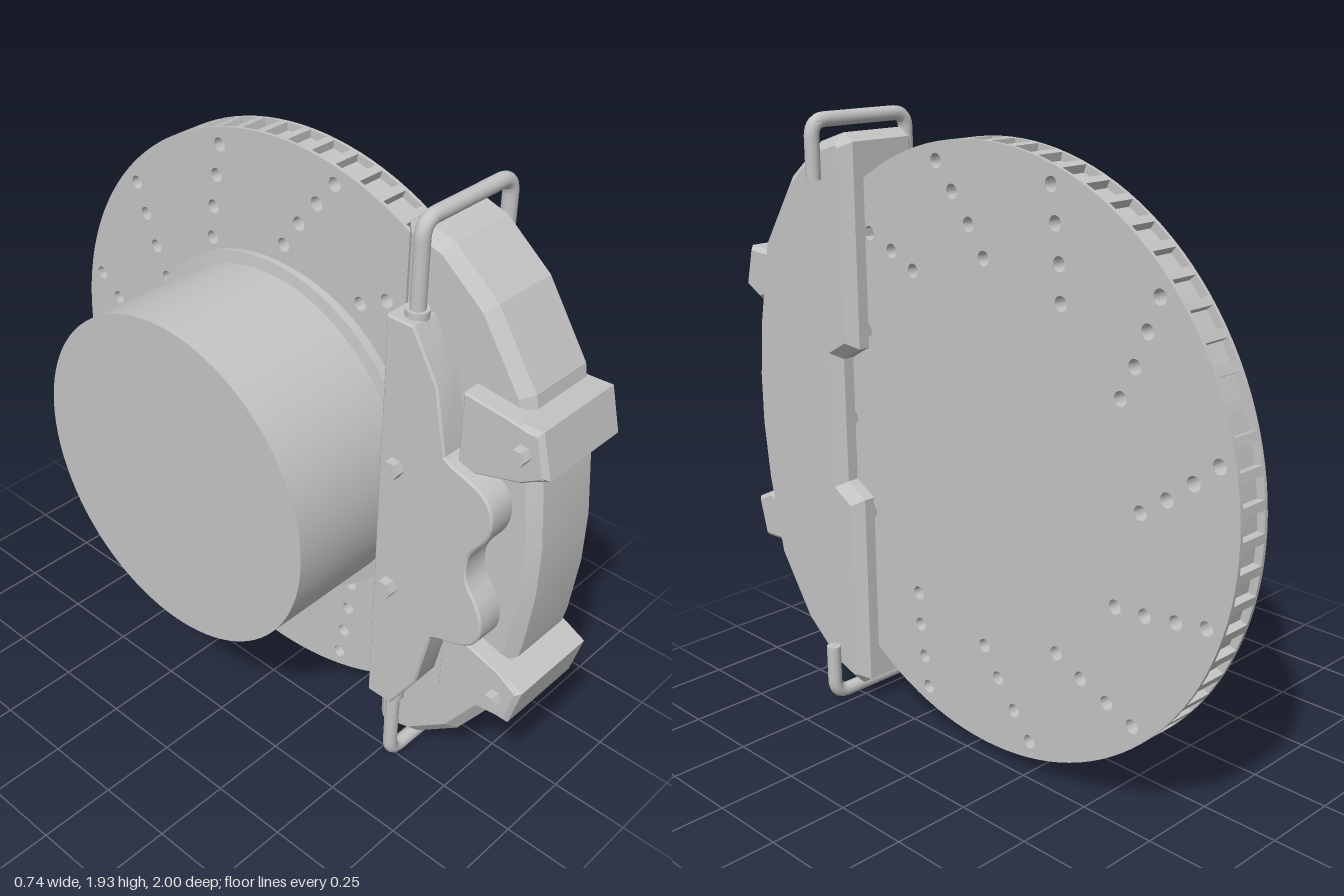
import * as THREE from 'three';
import { toCreasedNormals } from 'three/addons/utils/BufferGeometryUtils.js';

const CY = 0.976, CZ = -0.072, R = 0.928; // disc centre and radius

export function createModel() {
  const model = new THREE.Group();
  const steel = new THREE.MeshStandardMaterial({ color: 0xc4c4c4 });
  steel.name = 'steel grey';

  const add = (name, geo, crease = 0.4) => {
    const mesh = new THREE.Mesh(toCreasedNormals(geo, crease), steel);
    mesh.name = name;
    model.add(mesh);
    return mesh;
  };
  // Side profiles are lists of [z, y], extruded along x
  const toShape = (pts) => new THREE.Shape(pts.map(([z, y]) => new THREE.Vector2(-z, y)));
  const extrudeX = (shape, x0, x1, bevel = 0, curveSegments = 12) => {
    const geo = new THREE.ExtrudeGeometry(shape, {
      depth: x1 - x0 - 2 * bevel, curveSegments, bevelEnabled: bevel > 0,
      bevelThickness: bevel, bevelSize: bevel, bevelOffset: -bevel, bevelSegments: 1,
    });
    return geo.rotateY(Math.PI / 2).translate(x0 + bevel, 0, 0);
  };
  const flip = (pts) => pts.map(([z, y]) => [z, 2 * CY - y]).reverse();

  // Vented disc: two plates with a slotted core, drilled with 12 swept rows
  const drill = (shape) => {
    const radii = [0.875, 0.784, 0.691, 0.6], sweep = [-12.4, -9, -4.6, 0.4];
    for (let i = 0; i < 12; i++) {
      radii.forEach((r, k) => {
        const a = THREE.MathUtils.degToRad(sweep[k] + i * 30);
        const hole = new THREE.Path();
        hole.absarc(-CZ + r * Math.sin(a), CY + r * Math.cos(a), 0.022, 0, Math.PI * 2, true);
        shape.holes.push(hole);
      });
    }
    return shape;
  };
  const plate = () => {
    const s = new THREE.Shape();
    for (let i = 0; i < 128; i++) {
      const a = i / 128 * Math.PI * 2, x = -CZ + R * Math.cos(a), y = CY + R * Math.sin(a);
      i ? s.lineTo(x, y) : s.moveTo(x, y);
    }
    return drill(s);
  };
  add('innerDiscPlate', extrudeX(plate(), 0.12, 0.131));
  add('outerDiscPlate', extrudeX(plate(), 0.224, 0.235));
  const core = new THREE.Shape();
  const vanes = 64;
  for (let i = 0; i < vanes; i++) {
    [[0, 0.903], [0.7, 0.903], [0.7, R], [1, R]].forEach(([t, r], k) => {
      const a = (i + t) / vanes * Math.PI * 2;
      const x = -CZ + r * Math.cos(a), y = CY + r * Math.sin(a);
      i + k ? core.lineTo(x, y) : core.moveTo(x, y);
    });
  }
  add('slottedDiscCore', extrudeX(drill(core), 0.131, 0.224));

  // Hub drum with a thin flange
  const hubProfile = [[0, -0.37], [0.533, -0.37], [0.533, 0.055], [0.57, 0.06], [0.57, 0.08], [0.537, 0.08], [0.537, 0.12]];
  const hub = new THREE.LatheGeometry(hubProfile.map(([r, x]) => new THREE.Vector2(r, x)), 96);
  add('hub', hub.rotateZ(-Math.PI / 2).translate(0, CY, CZ));

  // Caliper body with chamfered rim and a notch at the back
  const upper = [[0.52, 1.18], [0.44, 1.225], [0.44, 1.86], [0.48, 1.885], [0.59, 1.85],
    [0.74, 1.73], [0.88, 1.52], [0.935, 1.25], [0.955, 1.06]];
  add('caliperBody', extrudeX(toShape([...upper, ...flip(upper)]), 0.02, 0.305, 0.033), 0.2);

  // Carrier bracket: straight spine and a lobed middle
  const spine = [[0.48, 1.65], [0.57, 1.65], [0.66, 1.5], [0.7, 1.3]];
  const bracket = new THREE.Shape();
  bracket.moveTo(-0.48, 2 * CY - 1.65);
  spine.forEach(([z, y]) => bracket.lineTo(-z, y));
  bracket.bezierCurveTo(-0.74, 1.26, -0.88, 1.28, -0.87, 1.15);
  bracket.bezierCurveTo(-0.86, 1.06, -0.8, 1.06, -0.8, CY);
  bracket.bezierCurveTo(-0.8, 0.892, -0.86, 0.892, -0.87, 0.802);
  bracket.bezierCurveTo(-0.88, 0.672, -0.74, 0.692, -0.7, 0.652);
  flip(spine).slice(1).forEach(([z, y]) => bracket.lineTo(-z, y));
  add('carrierBracket', extrudeX(bracket, -0.075, 0.022, 0.006), 0.5);

  // Hex bolt lying along x
  const bolt = (name, x0, x1, y, z, r) => {
    const geo = new THREE.CylinderGeometry(r, r, x1 - x0, 6);
    add(name, geo.rotateZ(Math.PI / 2).translate((x0 + x1) / 2, y, z));
  };

  // Upper and lower sets of clamps, arms, bolts and wire clips
  const clamp = [[0.86, 1.48], [0.965, 1.485], [1, 1.35], [0.92, 1.31], [0.84, 1.34]];
  const arm = [[0.72, 1.5], [0.86, 1.485], [0.96, 1.47], [0.985, 1.35], [0.92, 1.31], [0.72, 1.25]];
  for (const side of [1, -1]) {
    const tag = side > 0 ? 'upper' : 'lower';
    const my = (y) => CY + side * (y - CY);
    const mirrored = (pts) => (side > 0 ? pts : flip(pts));
    add(tag + 'Clamp', extrudeX(toShape(mirrored(clamp)), -0.04, 0.295, 0.014));
    add(tag + 'ClampArm', extrudeX(toShape(mirrored(arm)), -0.04, 0.03, 0.005));
    bolt(tag + 'ClampBolt', -0.072, -0.035, my(1.405), 0.92, 0.026);
    bolt(tag + 'BracketBolt', -0.105, -0.07, my(1.19), 0.54, 0.03);

    // Wire clip: straight runs joined by rounded corners
    const v = (x, y) => new THREE.Vector3(x, my(y), 0.54);
    const path = new THREE.CurvePath();
    path.add(new THREE.LineCurve3(v(-0.022, 1.63), v(-0.022, 1.87)));
    path.add(new THREE.QuadraticBezierCurve3(v(-0.022, 1.87), v(-0.022, 1.921), v(0.028, 1.921)));
    path.add(new THREE.LineCurve3(v(0.028, 1.921), v(0.296, 1.921)));
    path.add(new THREE.QuadraticBezierCurve3(v(0.296, 1.921), v(0.346, 1.921), v(0.346, 1.87)));
    path.add(new THREE.LineCurve3(v(0.346, 1.87), v(0.346, 1.747)));
    add(tag + 'WireClip', new THREE.TubeGeometry(path, 80, 0.023, 14), 0.8);
    for (const [x, y] of [[-0.022, 1.66], [0.346, 1.748]]) {
      const cap = new THREE.CylinderGeometry(0.023, 0.023, 0.004, 14);
      add(tag + 'ClipEnd', cap.translate(x, my(y), 0.54), 0.6);
    }
    const collar = new THREE.CylinderGeometry(0.034, 0.034, 0.03, 16);
    add(tag + 'ClipCollar', collar.translate(-0.022, my(1.655), 0.54), 0.6);
  }
  return model;
}
